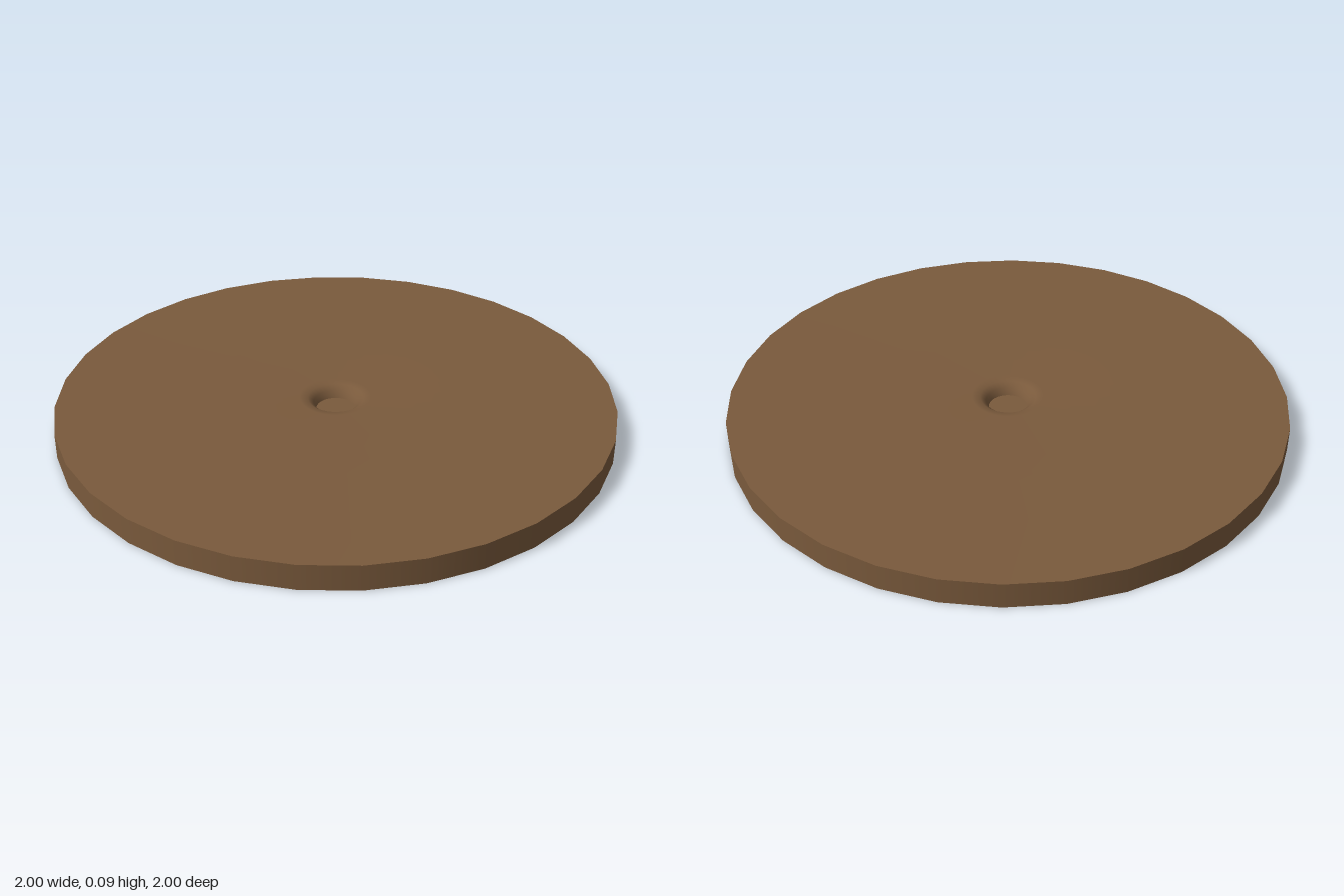
import * as THREE from 'three';

const SIDES = 32;

export function createModel() {
  const model = new THREE.Group();
  model.name = 'disc';
  const material = new THREE.MeshStandardMaterial({ color: 0x7a5a3c });

  // Each surface is its own lathe, so edges between them stay sharp
  const addLathe = (name, profile) => {
    const points = profile.map(([r, y]) => new THREE.Vector2(r, y));
    const mesh = new THREE.Mesh(new THREE.LatheGeometry(points, SIDES), material);
    mesh.name = name;
    model.add(mesh);
  };

  addLathe('base', [[0, 0], [1, 0]]);
  addLathe('rim', [[1, 0], [1, 0.093]]);
  // Slightly dished top that rolls smoothly into the central recess
  addLathe('top', [[1, 0.093], [0.5, 0.09], [0.13, 0.087], [0.1, 0.082], [0.08, 0.066], [0.07, 0.04]]);
  addLathe('recessFloor', [[0.07, 0.04], [0, 0.04]]);

  return model;
}
